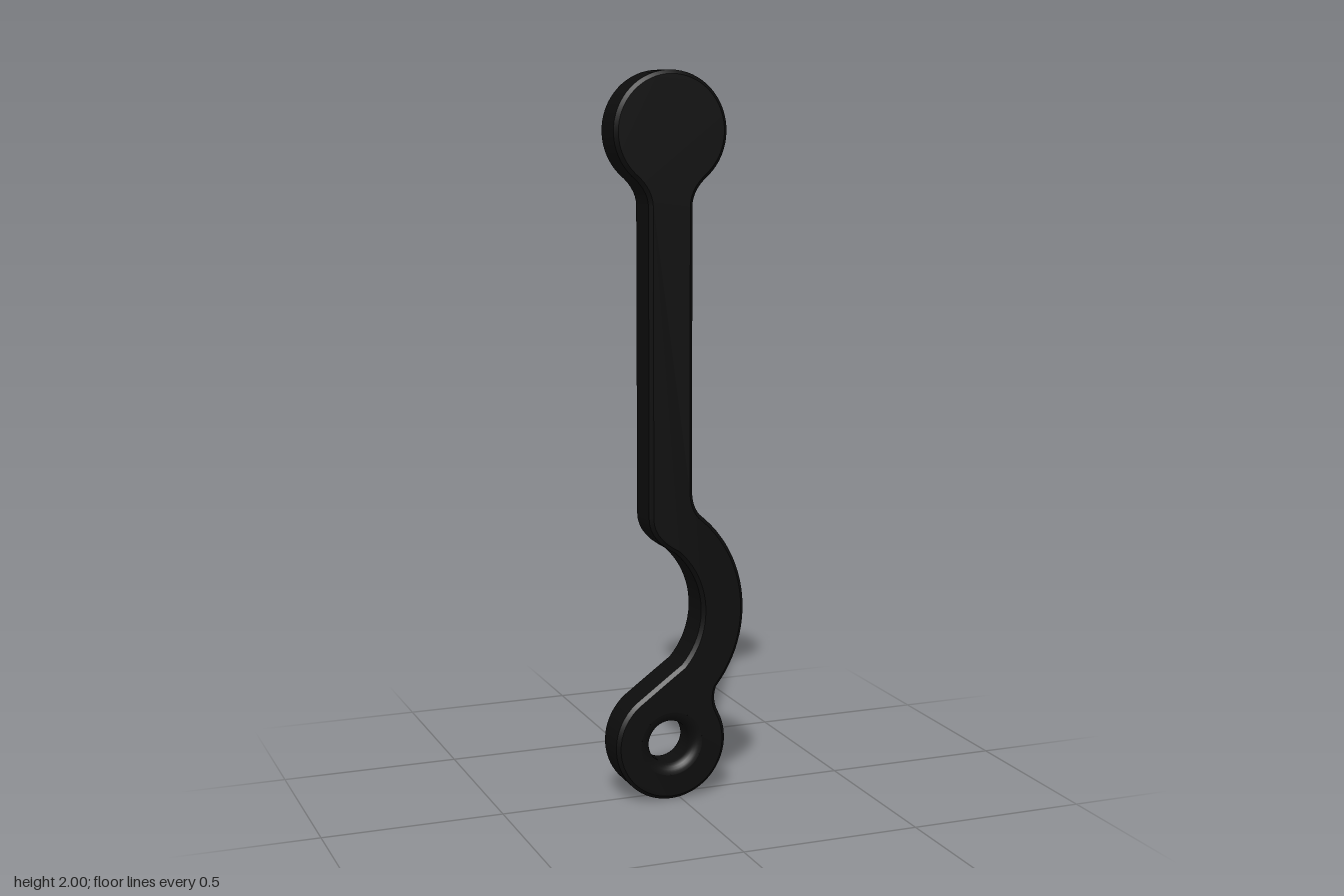
import * as THREE from 'three';
import { toCreasedNormals } from 'three/addons/utils/BufferGeometryUtils.js';

const CX = -0.0275;               // axis of shaft, knob and eye
const HALF = 0.057, BEVEL = 0.01; // half thickness and edge chamfer
const V = (x, y) => new THREE.Vector2(x, y);

// points along a circular arc, angles in degrees
function arc(x, y, r, from, to, n) {
  return Array.from({ length: n + 1 }, (_, i) => {
    const a = THREE.MathUtils.degToRad(from + (to - from) * i / n);
    return V(x + r * Math.cos(a), y + r * Math.sin(a));
  });
}

// inner points of a fillet between two points; the ends belong to the neighbours
function fillet(a, control, b) {
  return new THREE.QuadraticBezierCurve(a, control, b).getPoints(7).slice(1, -1);
}

export function createModel() {
  const group = new THREE.Group();
  const black = new THREE.MeshStandardMaterial({ color: 0x0d0d0d });
  black.name = 'black';

  // outline pieces, counter-clockwise from the right of the knob
  const pieces = [
    arc(CX, 1.84, 0.16, -47, 227, 48),        // round knob
    [V(-0.09, 1.64), V(-0.09, 0.8)],          // shaft, left edge
    arc(-0.16, 0.53, 0.223, 48, -42, 20),     // inside of the bow
    arc(CX, 0.16, 0.16, 130, 388, 48),        // eye
    arc(-0.16, 0.53, 0.347, -39.5, 51, 24),   // outside of the bow
    [V(0.035, 0.87), V(0.035, 1.64)],         // shaft, right edge
  ];
  // fillet control points after each piece
  const controls = [V(-0.09, 1.685), V(-0.09, 0.738), V(-0.045, 0.345),
    V(0.094, 0.272), V(0.035, 0.825), V(0.035, 1.685)];
  const outline = pieces.flatMap((piece, i) => {
    const next = pieces[(i + 1) % pieces.length];
    return [...piece, ...fillet(piece[piece.length - 1], controls[i], next[0])];
  });

  // flat bar with chamfered edges and an opening in the eye
  const shape = new THREE.Shape(outline);
  const hole = new THREE.Path();
  hole.absarc(CX, 0.16, 0.08, 0, Math.PI * 2, true);
  shape.holes.push(hole);
  const bar = new THREE.ExtrudeGeometry(shape, {
    depth: 2 * (HALF - BEVEL), bevelEnabled: true, bevelSize: BEVEL,
    bevelThickness: BEVEL, bevelOffset: -BEVEL, bevelSegments: 1, curveSegments: 24,
  });
  bar.translate(0, 0, -(HALF - BEVEL));
  const lever = new THREE.Mesh(toCreasedNormals(bar, 0.5), black);
  lever.name = 'leverBar';
  group.add(lever);

  // rounded lining of the eye hole
  const lining = [
    ...arc(0.09, HALF - 0.03, 0.03, 90, 180, 6),
    ...arc(0.09, 0.03 - HALF, 0.03, 180, 270, 6),
  ];
  const eye = new THREE.Mesh(new THREE.LatheGeometry(lining, 48), black);
  eye.name = 'eyeHoleLining';
  eye.rotation.x = Math.PI / 2;
  eye.position.set(CX, 0.16, 0);
  group.add(eye);

  return group;
}
